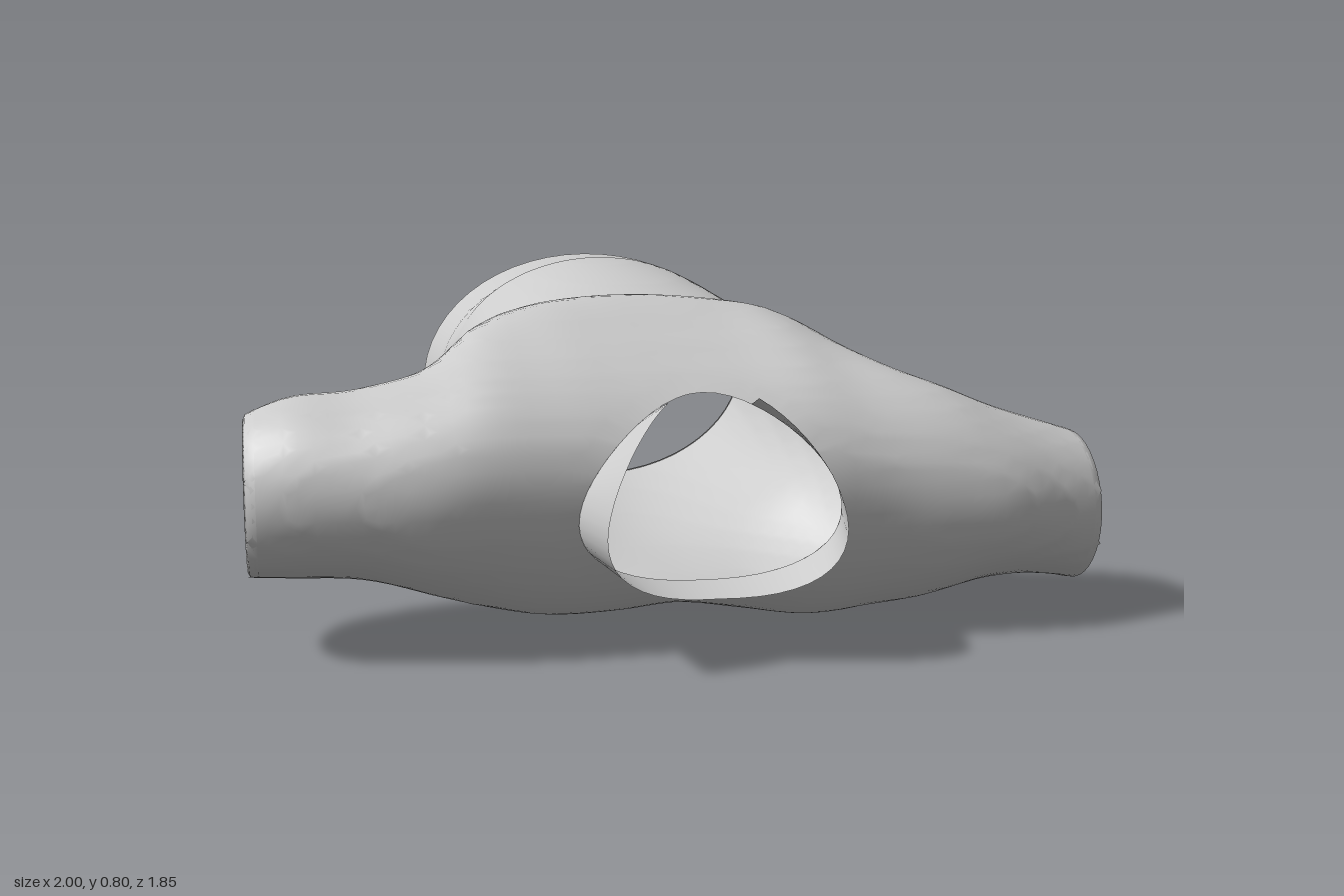
import * as THREE from 'three';

const material = new THREE.MeshStandardMaterial({ color: 0xcccccc, side: THREE.DoubleSide });
const { smoothstep } = THREE.MathUtils;

// Smooth lookup in an evenly spaced table
function lookup(table, start, step, at) {
  const last = table.length - 1;
  const t = Math.min(Math.max((at - start) / step, 0), last);
  const i = Math.min(Math.floor(t), last - 1), f = t - i;
  const p = n => table[Math.min(Math.max(n, 0), last)];
  const a = p(i - 1), b = p(i), c = p(i + 1), d = p(i + 2);
  return b + 0.5 * f * (c - a + f * (2 * a - 5 * b + 4 * c - d + f * (3 * (b - c) + d - a)));
}

// Torso cross-sections along z, every 0.2 from -0.8
const torso = {
  half: [0.435, 0.445, 0.455, 0.48, 0.525, 0.58, 0.5],
  top: [0.80, 0.80, 0.79, 0.77, 0.735, 0.725, 0.61],
  bottom: [0.15, 0.14, 0.11, 0.08, 0.06, 0.05, 0.10],
};
// Shoulder and sleeve cross-sections along x, every 0.15 from -1.05
const arms = {
  top: [0.53, 0.58, 0.59, 0.635, 0.745, 0.775, 0.77, 0.755, 0.745, 0.74, 0.68, 0.59, 0.52, 0.47, 0.43],
  bottom: [0.18, 0.17, 0.16, 0.12, 0.07, 0.035, 0.03, 0.04, 0.02, 0, 0.02, 0.05, 0.085, 0.085, 0.06],
  back: [0.37, 0.30, 0.26, 0.23, 0.04, -0.07, -0.13, -0.15, -0.13, -0.07, 0.04, 0.23, 0.26, 0.30, 0.37],
  front: [0.70, 0.74, 0.77, 0.79, 0.79, 0.79, 0.79, 0.79, 0.79, 0.785, 0.78, 0.785, 0.78, 0.74, 0.70],
};

function armSection(x) {
  const g = key => lookup(arms[key], -1.05, 0.15, x);
  const top = g('top'), bottom = g('bottom'), back = g('back'), front = g('front');
  return { cy: (top + bottom) / 2, ry: (top - bottom) / 2, cz: (front + back) / 2, rz: (front - back) / 2 };
}

// Garment field: torso and arms blended, negative inside
function field(x, y, z) {
  const g = key => lookup(torso[key], -0.8, 0.2, z);
  const half = g('half'), top = g('top'), bottom = g('bottom');
  const ry = (top - bottom) / 2;
  let body = (Math.hypot((x - 0.02) / half, (y - (top + bottom) / 2) / ry) - 1) * ry;
  body = Math.max(body, z - 0.42);
  // The chest slopes down from the shoulders to the neck and is fuller below
  const s = armSection(x), middle = 1 - smoothstep(Math.abs(x), 0.35, 0.7);
  const slope = y > s.cy ? -0.2 * smoothstep(z, 0.1, 0.55) : 0.12 * smoothstep(z, 0.35, 0.7);
  const armY = (y - s.cy) / (s.ry * (1 + middle * slope));
  const arm = (Math.hypot(armY, (z - s.cz) / s.rz) - 1) * Math.min(s.ry, s.rz);
  const k = 0.11, h = Math.max(k - Math.abs(body - arm), 0) / k;
  return Math.min(body, arm) - h * h * k * 0.25;
}

// Egg-shaped neck opening, seen from the front
const neck = { x: 0.015, y: 0.37, ry: 0.215 };
const neckHalf = v => 0.293 - 0.07 * Math.min(Math.max(v, -1), 1);
function neckRadius(x, y) {
  const v = (y - neck.y) / neck.ry;
  return Math.hypot((x - neck.x) / neckHalf(v), v);
}
function neckPoint(angle) {
  const v = Math.sin(angle);
  const x = neck.x + neckHalf(v) * Math.cos(angle), y = neck.y + neck.ry * v;
  let inside = 0.4, outside = 1;
  for (let i = 0; i < 24; i++) {
    const mid = (inside + outside) / 2;
    if (field(x, y, mid) < 0) inside = mid; else outside = mid;
  }
  return new THREE.Vector3(x, y, inside);
}

// Skin of the field on a grid, left open at the grid ends and the neck
function skinGeometry() {
  const h = 1 / 30, n = [61, 31, 48], o = [-1, -0.075, -0.633];
  const id = (i, j, k) => i + n[0] * (j + n[1] * k);
  const values = new Float32Array(n[0] * n[1] * n[2]);
  const each = (shrink, fn) => {
    for (let k = 0; k < n[2] - shrink; k++)
      for (let j = 0; j < n[1] - shrink; j++)
        for (let i = 0; i < n[0] - shrink; i++) fn([i, j, k]);
  };
  each(0, c => { values[id(...c)] = field(o[0] + c[0] * h, o[1] + c[1] * h, o[2] + c[2] * h); });

  // One vertex in each cell the surface crosses
  const positions = [], cellVertex = new Map();
  each(1, c => {
    const sum = [0, 0, 0];
    let count = 0;
    for (let corner = 0; corner < 8; corner++) for (let axis = 0; axis < 3; axis++) {
      if (corner >> axis & 1) continue;
      const p = [0, 1, 2].map(d => c[d] + (corner >> d & 1)), q = [...p];
      q[axis]++;
      const a = values[id(...p)], b = values[id(...q)];
      if (a < 0 === b < 0) continue;
      p[axis] += a / (a - b);
      for (let d = 0; d < 3; d++) sum[d] += p[d];
      count++;
    }
    if (!count) return;
    cellVertex.set(id(...c), positions.length / 3);
    for (let d = 0; d < 3; d++) positions.push(o[d] + h * sum[d] / count);
  });

  // One quad around each crossed grid edge
  const index = [], rim = new Set();
  const inNeck = v => positions[v * 3 + 2] > 0.45 && neckRadius(positions[v * 3], positions[v * 3 + 1]) < 1;
  each(1, c => {
    for (let axis = 0; axis < 3; axis++) {
      const u = (axis + 1) % 3, w = (axis + 2) % 3, next = [...c];
      next[axis]++;
      const a = values[id(...c)], b = values[id(...next)];
      if (a < 0 === b < 0 || !c[u] || !c[w]) continue;
      const quad = [[1, 1], [0, 1], [0, 0], [1, 0]].map(([du, dw]) => {
        const cell = [...c];
        cell[u] -= du;
        cell[w] -= dw;
        return cellVertex.get(id(...cell));
      });
      if (quad.some(inNeck)) { quad.forEach(v => rim.add(v)); continue; }
      if (a >= 0) quad.reverse();
      index.push(quad[0], quad[1], quad[2], quad[0], quad[2], quad[3]);
    }
  });

  // Pull the ragged neck rim onto the opening
  for (const v of rim) {
    const vy = (positions[v * 3 + 1] - neck.y) / neck.ry;
    const angle = Math.atan2(vy, (positions[v * 3] - neck.x) / neckHalf(vy));
    neckPoint(angle).toArray(positions, v * 3);
  }
  return finish(positions, index);
}

function finish(positions, index) {
  const geometry = new THREE.BufferGeometry();
  geometry.setAttribute('position', new THREE.Float32BufferAttribute(positions, 3));
  geometry.setIndex(index);
  geometry.computeVertexNormals();
  return geometry;
}

// Band of rings: point(ring, angle) gives each vertex
function band(rings, segments, from, sweep, point, flip = false) {
  const positions = [], index = [];
  for (let r = 0; r < rings; r++)
    for (let s = 0; s <= segments; s++) positions.push(...point(r, from + sweep * s / segments));
  for (let r = 0; r < rings - 1; r++) for (let s = 0; s < segments; s++) {
    const a = r * (segments + 1) + s, b = a + 1, c = a + segments + 1, d = c + 1;
    if (flip) index.push(a, c, b, b, c, d);
    else index.push(a, b, c, b, d, c);
  }
  return finish(positions, index);
}

export function createModel() {
  const model = new THREE.Group();
  const add = (name, geometry) => {
    const mesh = new THREE.Mesh(geometry, material);
    mesh.name = name;
    model.add(mesh);
  };

  add('shirtBody', skinGeometry());

  // Sleeve ends, folded inward
  const fold = [[0.975, 1], [0.995, 0.99], [1, 0.94], [0.95, 0.88]];
  for (const side of [-1, 1]) {
    add(side > 0 ? 'leftCuff' : 'rightCuff', band(fold.length, 40, 0, Math.PI * 2, (r, angle) => {
      const [x, scale] = fold[r], s = armSection(side * x);
      return [side * x, s.cy + s.ry * scale * Math.cos(angle), s.cz + s.rz * scale * Math.sin(angle)];
    }, side < 0));
  }

  // Flared waistband, longer along the top: centre x, half width, bottom, top, z
  const waist = [
    [0.02, 0.44, 0.145, 0.795, -0.61],
    [0.02, 0.475, 0.09, 0.785, -0.64],
    [0.02, 0.485, 0.055, 0.772, -0.70],
    [0.03, 0.52, 0.03, 0.79, -0.80],
  ];
  add('waistband', band(waist.length, 56, 0, Math.PI * 2, (r, angle) => {
    const [cx, half, bottom, top, z] = waist[r], up = Math.sin(angle);
    const drop = 0.12 * Math.max(up, 0) ** 1.5 * (r / 3) ** 2;
    return [cx + half * Math.cos(angle), (top + bottom) / 2 + up * (top - bottom) / 2, z - drop];
  }, true));

  // Standing collar with a gap at the top
  const gap = 0.5;
  add('collar', band(3, 44, Math.PI / 2 + gap, Math.PI * 2 - gap * 2, (r, angle) => {
    const p = neckPoint(angle), t = r / 2, side = Math.abs(Math.cos(angle)), up = Math.sin(angle);
    return [
      neck.x + (p.x - neck.x) * (1 - 0.12 * t * side),
      p.y + 0.03 * t * Math.max(up, 0),
      p.z + t * (0.115 + 0.025 * side - 0.05 * up),
    ];
  }));
  return model;
}
